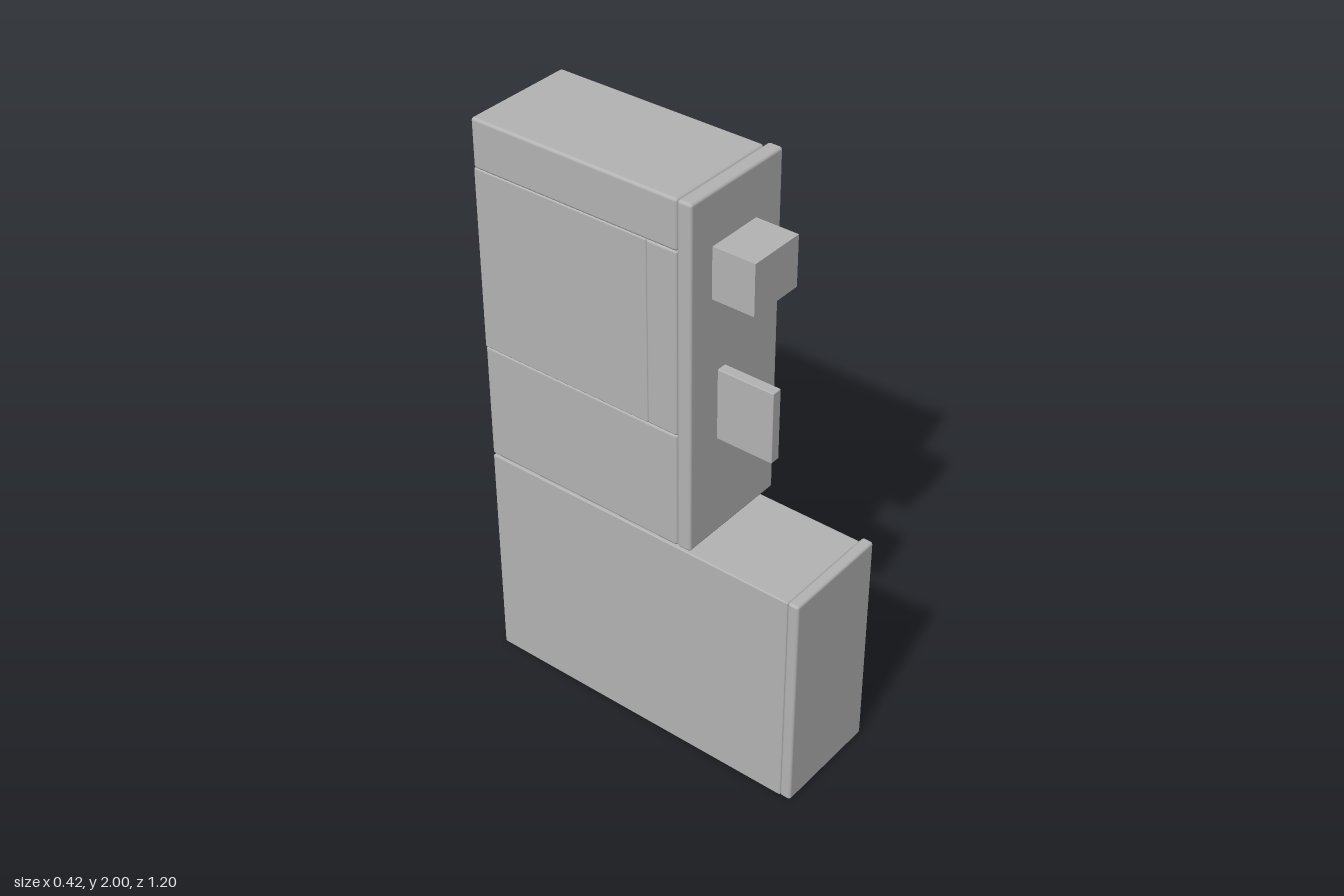
import * as THREE from 'three';
import { RoundedBoxGeometry } from 'three/addons/geometries/RoundedBoxGeometry.js';

const grey = new THREE.MeshStandardMaterial({ color: 0xb3b3b3 });
grey.name = 'grey';

// Box given by its limits on each axis, with softly rounded edges (r = 0 for sharp)
function block(name, [x0, x1], [y0, y1], [z0, z1], r = 0.008) {
  const size = [x1 - x0, y1 - y0, z1 - z0];
  const geometry = r > 0 ? new RoundedBoxGeometry(...size, 2, r) : new THREE.BoxGeometry(...size);
  const mesh = new THREE.Mesh(geometry, grey);
  mesh.name = name;
  mesh.position.set((x0 + x1) / 2, (y0 + y1) / 2, (z0 + z1) / 2);
  return mesh;
}

function createBase() {
  const base = new THREE.Group();
  base.name = 'baseCabinet';
  base.add(
    block('baseBody', [-0.21, 0.137], [0, 0.798], [-0.598, 0.562], 0.005),
    block('baseFrontPanel', [-0.21, 0.18], [0, 0.8], [0.56, 0.6], 0.01),
    // raised frame around the side doors
    block('frameTop', [0.12, 0.16], [0.773, 0.798], [-0.598, 0.565]),
    block('frameBottom', [0.12, 0.16], [0.002, 0.032], [-0.598, 0.565]),
    block('frameBack', [0.12, 0.16], [0.03, 0.775], [-0.598, -0.548])
  );
  // pair of side doors
  for (const z of [[-0.547, 0.007], [0.01, 0.561]]) {
    base.add(block('sideDoor', [0.12, 0.15], [0.033, 0.772], z, 0.003));
  }
  return base;
}

function createTower() {
  const tower = new THREE.Group();
  tower.name = 'tower';
  const depth = [-0.6, 0.15];
  const middle = [1.213, 1.837];
  tower.add(
    block('towerFrontPanel', [-0.21, 0.206], [0.803, 2], [0.15, 0.2], 0.01),
    block('towerCap', [-0.21, 0.185], [1.835, 2], depth, 0.01),
    block('towerLowerBox', [-0.21, 0.185], [0.803, 1.215], depth, 0.01),
    // recessed side panel between a front post and a back strip
    block('recessedBody', [-0.21, 0.155], middle, [-0.6, 0.042], 0.005),
    block('frontPost', [-0.21, 0.18], middle, [0.04, 0.15]),
    block('backStrip', [0.145, 0.18], middle, [-0.6, -0.562])
  );
  return tower;
}

export function createModel() {
  const model = new THREE.Group();
  model.name = 'cabinetMachine';
  model.add(
    createBase(),
    createTower(),
    // parts that stand out from the tower's front
    block('frontBox', [-0.115, 0.085], [1.657, 1.828], [0.19, 0.347], 0),
    block('frontHandle', [-0.083, -0.047], [1.155, 1.402], [0.19, 0.398], 0.003)
  );
  return model;
}
